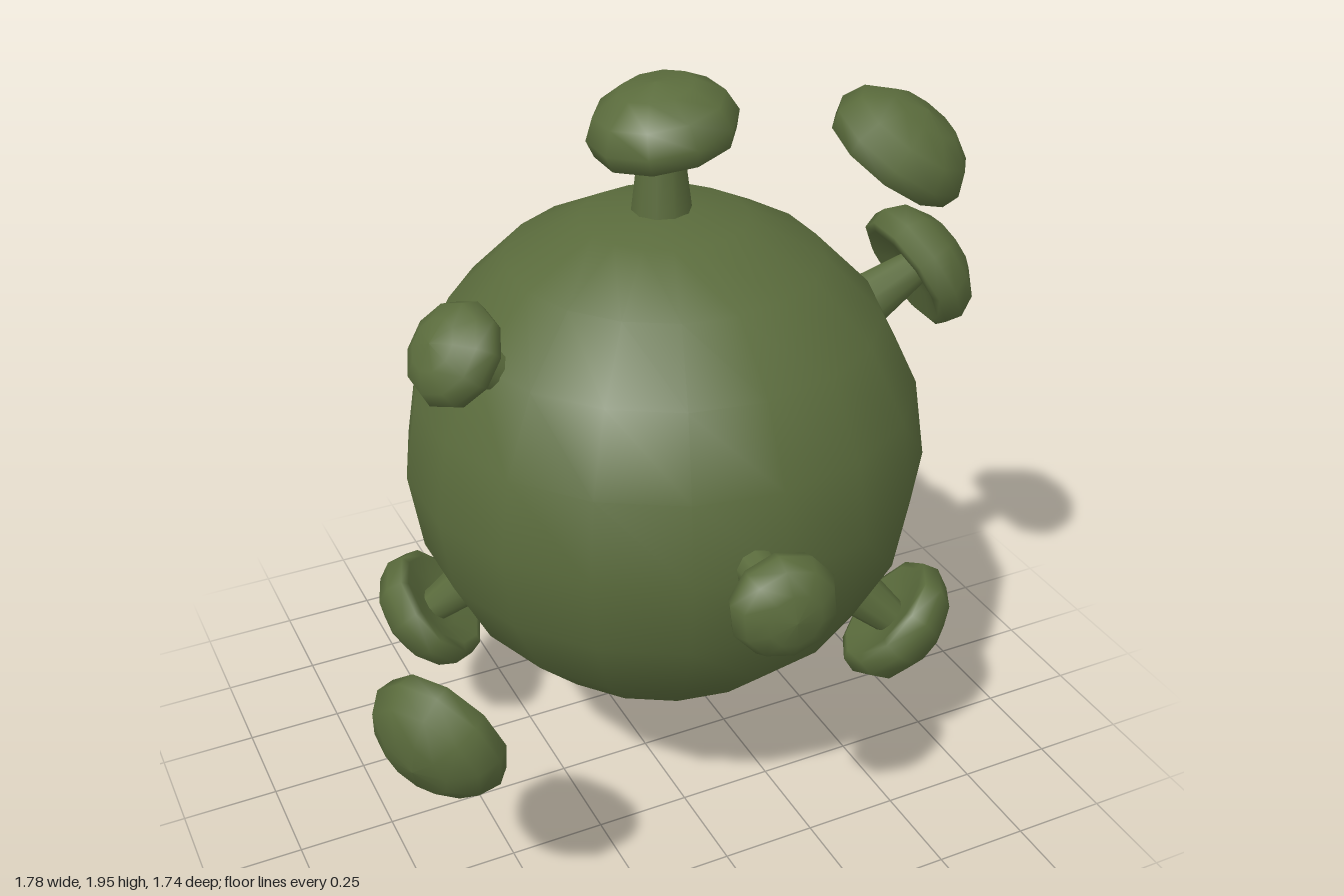
import * as THREE from 'three';

const CENTRE = new THREE.Vector3(0.05, 1.01, 0);
const RADIUS = 0.66;
const UP = new THREE.Vector3(0, 1, 0);

// Knobs: cap middle relative to the ball centre, cap radius, stem or loose, optional own axis
const KNOBS = [
  { at: [-0.01, 0.88, 0], r: 0.183, stem: true, axis: [-0.18, 1, 0] },
  { at: [0.74, 0.38, 0.03], r: 0.178, stem: true, axis: [0.8, 0.44, 0.02] },
  { at: [-0.61, 0.47, 0.15], r: 0.13, stem: true },
  { at: [-0.09, 0.03, 0.81], r: 0.13, stem: true },
  { at: [0.66, -0.07, -0.42], r: 0.148, stem: true },
  { at: [-0.58, -0.55, -0.29], r: 0.172, stem: true },
  { at: [0.55, -0.53, 0.34], r: 0.178, stem: true },
  { at: [0.17, -0.11, -0.79], r: 0.165, stem: true },
  { at: [0.47, 0.85, 0.3], r: 0.178, stem: false },
  { at: [-0.83, -0.3, 0.53], r: 0.175, stem: false },
  { at: [0.12, -0.885, -0.4], r: 0.172, stem: false },
];

// Domed mushroom cap with a hollowed underside, unit radius, middle at the origin
function capGeometry() {
  const profile = [
    [0, -0.26], [0.42, -0.28], [0.8, -0.42], [0.93, -0.38],
    [1, -0.14], [0.86, 0.16], [0.5, 0.39], [0, 0.46],
  ].map(([x, y]) => new THREE.Vector2(x, y));
  return new THREE.LatheGeometry(profile, 10);
}

export function createModel() {
  const model = new THREE.Group();
  const green = new THREE.MeshStandardMaterial({ color: 0x5a6b3c });
  green.name = 'olive green';

  // Main ball
  const ball = new THREE.Mesh(new THREE.SphereGeometry(RADIUS, 18, 10), green);
  ball.name = 'ball';
  ball.rotation.y = Math.PI / 2;
  ball.position.copy(CENTRE);
  model.add(ball);

  const capShape = capGeometry();
  KNOBS.forEach(({ at, r, stem, axis }, i) => {
    const offset = new THREE.Vector3(...at);
    const knob = new THREE.Group();
    knob.name = `${stem ? 'knob' : 'looseCap'}${i + 1}`;

    // Cap facing outwards
    const cap = new THREE.Mesh(capShape, green);
    cap.name = 'cap';
    cap.scale.setScalar(r);
    const facing = axis ? new THREE.Vector3(...axis) : offset.clone();
    cap.quaternion.setFromUnitVectors(UP, facing.normalize());
    cap.position.copy(CENTRE).add(offset);
    knob.add(cap);

    // Tapered stem from inside the ball to the hollow of the cap
    if (stem) {
      const inner = RADIUS - 0.04;
      const outer = offset.length() - r * 0.22;
      const outward = offset.clone().normalize();
      const rod = new THREE.Mesh(
        new THREE.CylinderGeometry(r * 0.27, r * 0.42, outer - inner, 10, 1, true), green);
      rod.name = 'stem';
      rod.quaternion.setFromUnitVectors(UP, outward);
      rod.position.copy(CENTRE).addScaledVector(outward, (inner + outer) / 2);
      knob.add(rod);
    }
    model.add(knob);
  });
  return model;
}
